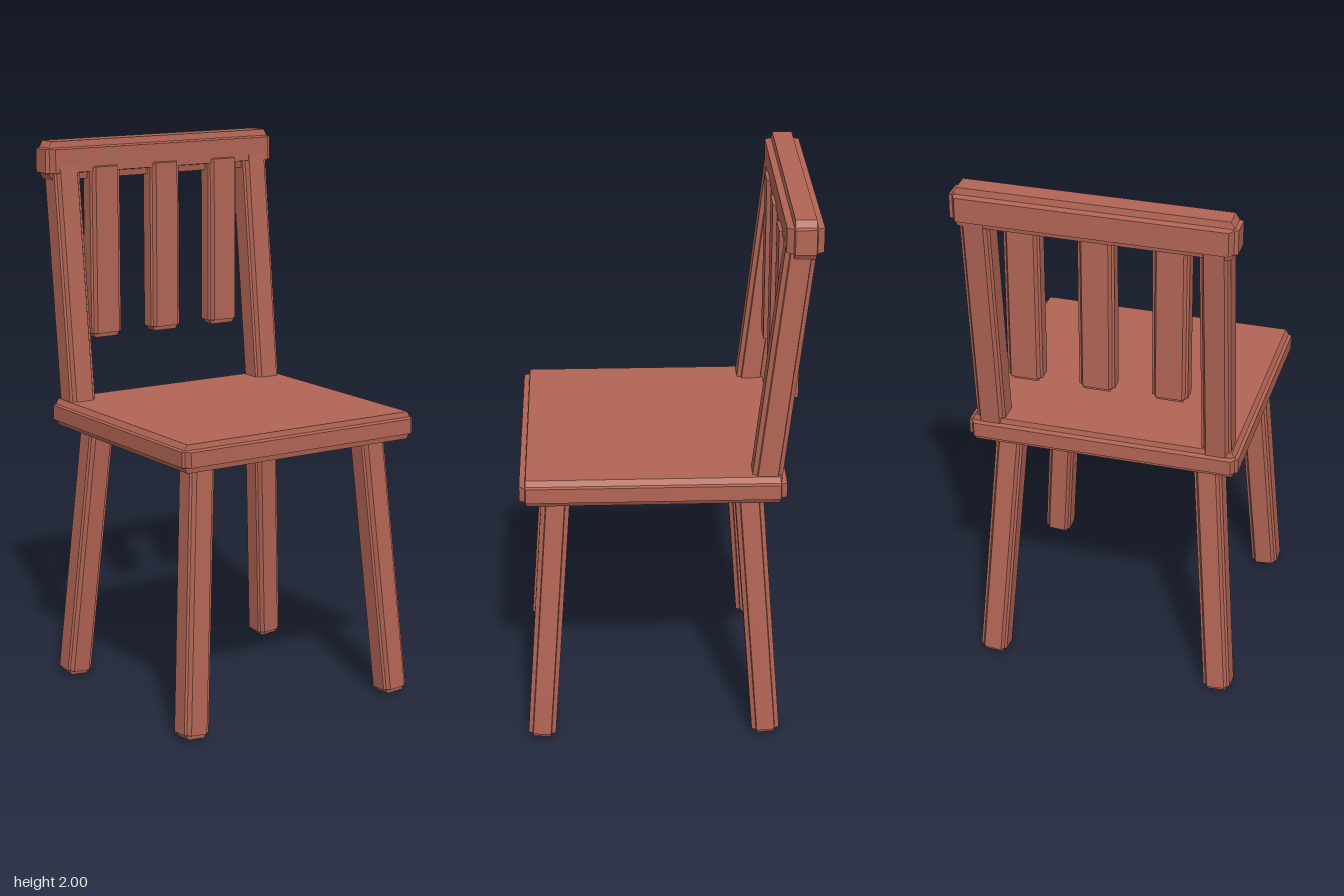
import * as THREE from 'three';

const material = new THREE.MeshStandardMaterial({ color: 0xb26555, flatShading: true });

// Box whose edges are all cut by a small concave step (c = size of the cut)
function steppedBox(w, h, d, c) {
  const half = [w / 2, h / 2, d / 2];
  const pos = [];
  const face = (...pts) => {
    for (let i = 1; i < pts.length - 1; i++) {
      const [p, q, r] = [pts[0], pts[i], pts[i + 1]];
      const n = q.clone().sub(p).cross(r.clone().sub(p));
      const mid = p.clone().add(q).add(r);
      for (const v of n.dot(mid) < 0 ? [p, r, q] : [p, q, r]) pos.push(v.x, v.y, v.z);
    }
  };
  // corner of the plate on the given axis
  const plate = (s, axis) => new THREE.Vector3(
    ...half.map((v, i) => s[i] * (i === axis ? v : v - c)));
  // bottom of the groove between two plates
  const groove = (s, a, b) => {
    const inset = [c, c, c];
    inset[a] = a === 0 ? 0.5 * c : 0.85 * c;
    inset[b] = b === 0 ? 0.5 * c : 0.85 * c;
    return new THREE.Vector3(...half.map((v, i) => s[i] * (v - inset[i])));
  };
  const signs = (fixed) => {
    const s = [1, 1, 1];
    for (const i in fixed) s[i] = fixed[i];
    return s;
  };
  for (let k = 0; k < 3; k++) {
    const a = (k + 1) % 3, b = (k + 2) % 3;
    for (const u of [-1, 1]) {
      // outer plate
      face(...[[-1, -1], [1, -1], [1, 1], [-1, 1]].map(
        ([p, q]) => plate(signs({ [k]: u, [a]: p, [b]: q }), k)));
      // the two strips of each edge running along axis k
      for (const v of [-1, 1]) {
        const s = signs({ [a]: u, [b]: v, [k]: -1 });
        const t = signs({ [a]: u, [b]: v, [k]: 1 });
        for (const side of [a, b]) {
          face(plate(s, side), groove(s, a, b), groove(t, a, b), plate(t, side));
        }
      }
    }
  }
  // corners
  for (const x of [-1, 1]) for (const y of [-1, 1]) for (const z of [-1, 1]) {
    const s = [x, y, z];
    const g = [groove(s, 0, 1), groove(s, 1, 2), groove(s, 2, 0)];
    face(...g);
    for (let i = 0; i < 3; i++) face(plate(s, i), g[i], g[(i + 2) % 3]);
  }
  const geo = new THREE.BufferGeometry();
  geo.setAttribute('position', new THREE.Float32BufferAttribute(pos, 3));
  geo.computeVertexNormals();
  return geo;
}

export function createModel() {
  const chair = new THREE.Group();
  chair.name = 'chair';

  // Upright block between given limits
  const block = (name, x0, x1, y0, y1, z0, z1, c) => {
    const mesh = new THREE.Mesh(steppedBox(x1 - x0, y1 - y0, z1 - z0, c), material);
    mesh.position.set((x0 + x1) / 2, (y0 + y1) / 2, (z0 + z1) / 2);
    mesh.name = name;
    chair.add(mesh);
  };
  // Leaning square bar from one point to another
  const bar = (name, from, to, width, c) => {
    const p = new THREE.Vector3(...from), q = new THREE.Vector3(...to);
    const mesh = new THREE.Mesh(steppedBox(width, p.distanceTo(q), width, c), material);
    mesh.position.copy(p).add(q).multiplyScalar(0.5);
    mesh.quaternion.setFromUnitVectors(new THREE.Vector3(0, 1, 0), q.sub(p).normalize());
    mesh.name = name;
    chair.add(mesh);
  };

  block('seat', -0.49, 0.49, 0.96, 1.06, -0.415, 0.515, 0.023);
  block('topRail', -0.49, 0.49, 1.86, 2.0, -0.515, -0.39, 0.027);

  // Legs splay outwards and forwards, back posts lean backwards
  for (const [side, s] of [['left', 1], ['right', -1]]) {
    bar(side + 'FrontLeg', [s * 0.435, 0.005, 0.46], [s * 0.361, 1.0, 0.387], 0.1, 0.018);
    bar(side + 'BackLeg', [s * 0.435, 0.005, -0.36], [s * 0.361, 1.0, -0.285], 0.1, 0.018);
    bar(side + 'BackPost', [s * 0.41, 1.0, -0.341], [s * 0.41, 1.93, -0.445], 0.105, 0.018);
  }

  // Vertical slats hanging from the rail
  for (const x of [-0.257, 0, 0.257]) {
    block('backSlat', x - 0.063, x + 0.063, 1.27, 1.92, -0.46, -0.379, 0.017);
  }
  return chair;
}
